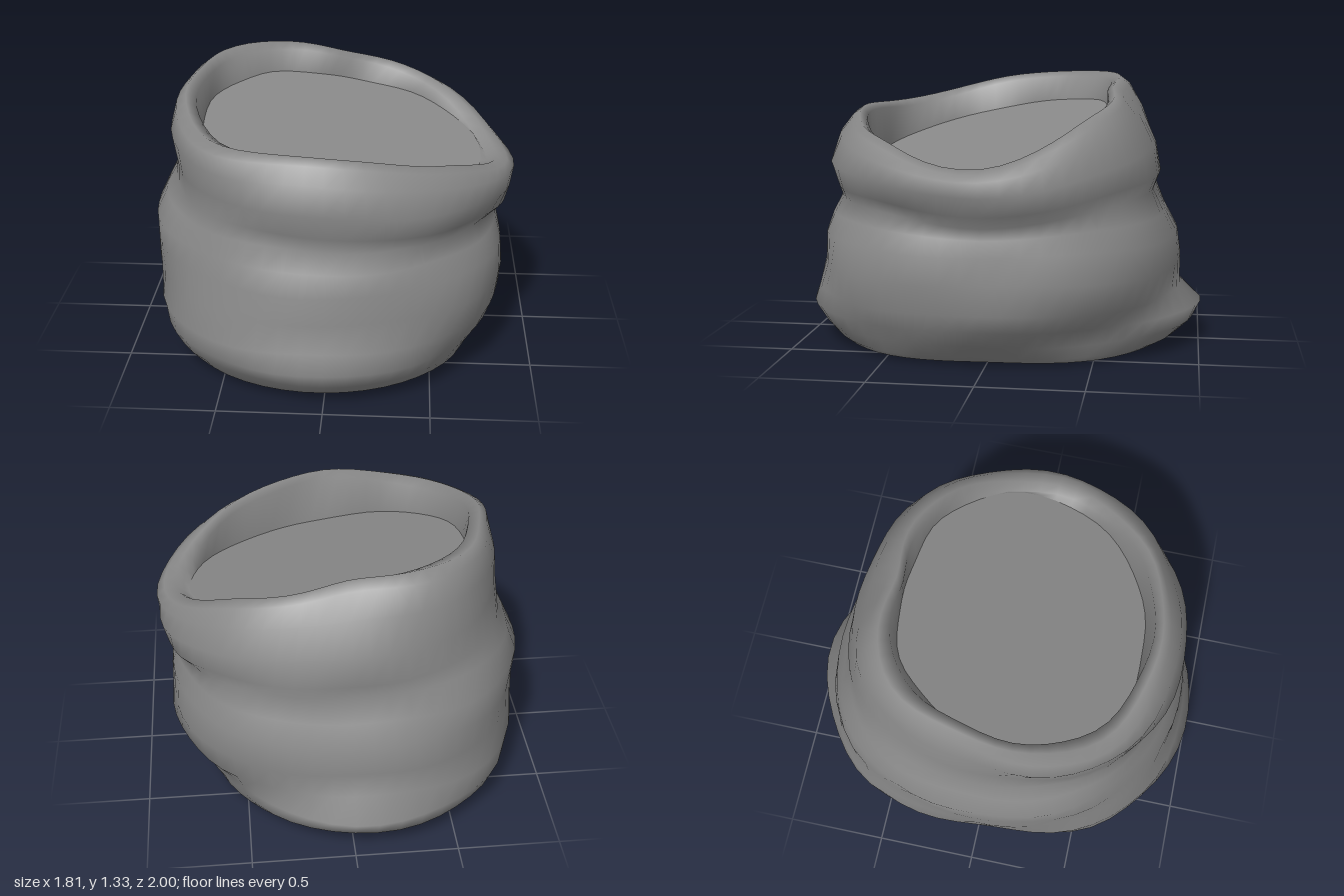
import * as THREE from 'three';

const SEG = 56;
// Values are given at eight directions: +x, +x+z, +z, -x+z, -x, -x-z, -z, +x-z
const RIM_Y = [0.95, 1.08, 1.17, 1.19, 1.3, 1.34, 1.285, 1.18];

// Each ring: base height, share of the rim's tilt, then eight radii
const BODY = [
  [0.015, 0, 0.65, 0.78, 0.84, 0.84, 0.72, 0.87, 0.82, 0.75],
  [0.04, 0, 0.68, 0.81, 0.88, 0.87, 0.75, 0.91, 0.88, 0.77],
  [0.11, 0, 0.75, 0.85, 0.95, 0.92, 0.80, 0.95, 0.97, 0.80],
  [0.19, 0, 0.81, 0.89, 1.00, 0.96, 0.85, 0.98, 1.00, 0.82],
  [0.28, 0, 0.86, 0.91, 0.96, 0.97, 0.88, 0.98, 0.89, 0.88],
  [0.42, 0, 0.86, 0.93, 0.92, 0.94, 0.89, 0.96, 0.90, 0.91],
  [0.56, 0, 0.85, 0.91, 0.91, 0.93, 0.90, 0.95, 0.88, 0.89],
  [0.66, 0.1, 0.82, 0.86, 0.87, 0.90, 0.91, 0.93, 0.82, 0.85],
];
const CUFF = [
  [0.76, 0.3, 0.81, 0.82, 0.83, 0.86, 0.85, 0.88, 0.76, 0.82],
  [0.83, 0.35, 0.87, 0.86, 0.84, 0.83, 0.80, 0.85, 0.79, 0.85],
  [0.95, 0.5, 0.90, 0.89, 0.88, 0.85, 0.78, 0.82, 0.76, 0.84],
  [1.08, 0.75, 0.90, 0.86, 0.83, 0.87, 0.78, 0.79, 0.69, 0.78],
  [1.16, 0.95, 0.86, 0.81, 0.77, 0.84, 0.75, 0.74, 0.61, 0.73],
  [1.19, 1, 0.80, 0.77, 0.73, 0.78, 0.71, 0.69, 0.56, 0.68],
  [1.16, 1, 0.76, 0.73, 0.69, 0.72, 0.66, 0.62, 0.53, 0.64],
];
const MOUTH = [0.74, 0.71, 0.67, 0.70, 0.64, 0.59, 0.52, 0.62];

// Smooth periodic interpolation through eight values, t in 0..1
function around(v, t) {
  const f = t * 8, i = Math.floor(f), u = f - i;
  const [a, b, c, d] = [-1, 0, 1, 2].map((k) => v[(i + k + 8) % 8]);
  return b + 0.5 * u * (c - a + u * (2 * a - 5 * b + 4 * c - d + u * (3 * (b - c) + d - a)));
}

// Soft cloth creases running at a slant
function wrinkle(a, y) {
  return 0.005 * Math.sin(5 * a + 11 * y) + 0.005 * Math.sin(9 * a - 17 * y + 1);
}

function makeRing([y0, tilt, ...radii]) {
  const calm = y0 < 0.05 ? 0 : 1;
  return Array.from({ length: SEG }, (_, s) => {
    const t = s / SEG, a = t * Math.PI * 2;
    const r = around(radii, t) + calm * wrinkle(a, y0);
    const sag = calm * 0.006 * Math.sin(4 * a + 7 * y0);
    const y = y0 + tilt * (around(RIM_Y, t) - 1.19) + sag;
    return new THREE.Vector3(r * Math.cos(a), y, r * Math.sin(a));
  });
}

function makeGeometry(points, index) {
  const g = new THREE.BufferGeometry().setFromPoints(points);
  g.setIndex(index);
  g.computeVertexNormals();
  return g;
}

// Closed skin through a stack of rings
function skin(rings) {
  const index = [];
  for (let j = 0; j < rings.length - 1; j++) {
    for (let s = 0; s < SEG; s++) {
      const n = (s + 1) % SEG;
      const p = j * SEG + s, q = j * SEG + n;
      index.push(p, p + SEG, q, q, p + SEG, q + SEG);
    }
  }
  return makeGeometry(rings.flat(), index);
}

// Fan that closes a ring
function cap(ring, centreY, up) {
  const index = [];
  for (let s = 0; s < SEG; s++) {
    const n = (s + 1) % SEG;
    index.push(SEG, up ? n : s, up ? s : n);
  }
  return makeGeometry([...ring, new THREE.Vector3(0, centreY, 0)], index);
}

export function createModel() {
  const sack = new THREE.Group();
  sack.name = 'sack';
  const cloth = new THREE.MeshStandardMaterial({ color: 0x888888, side: THREE.DoubleSide });
  cloth.name = 'grey cloth';

  const add = (name, geometry) => {
    const mesh = new THREE.Mesh(geometry, cloth);
    mesh.name = name;
    sack.add(mesh);
  };

  // Inner edge of the mouth lies on the tilted plane of the contents
  const mouth = makeRing([1, 0, ...MOUTH]);
  mouth.forEach((p) => { p.y = 1.045 - 0.145 * p.x - 0.2 * p.z; });

  const rings = [...BODY, ...CUFF].map(makeRing);
  add('clothBodyAndRolledRim', skin([...rings, mouth]));
  add('contents', cap(mouth, 1.045, true));

  // Nearly flat underside
  add('base', cap(rings[0], 0, false));
  return sack;
}
